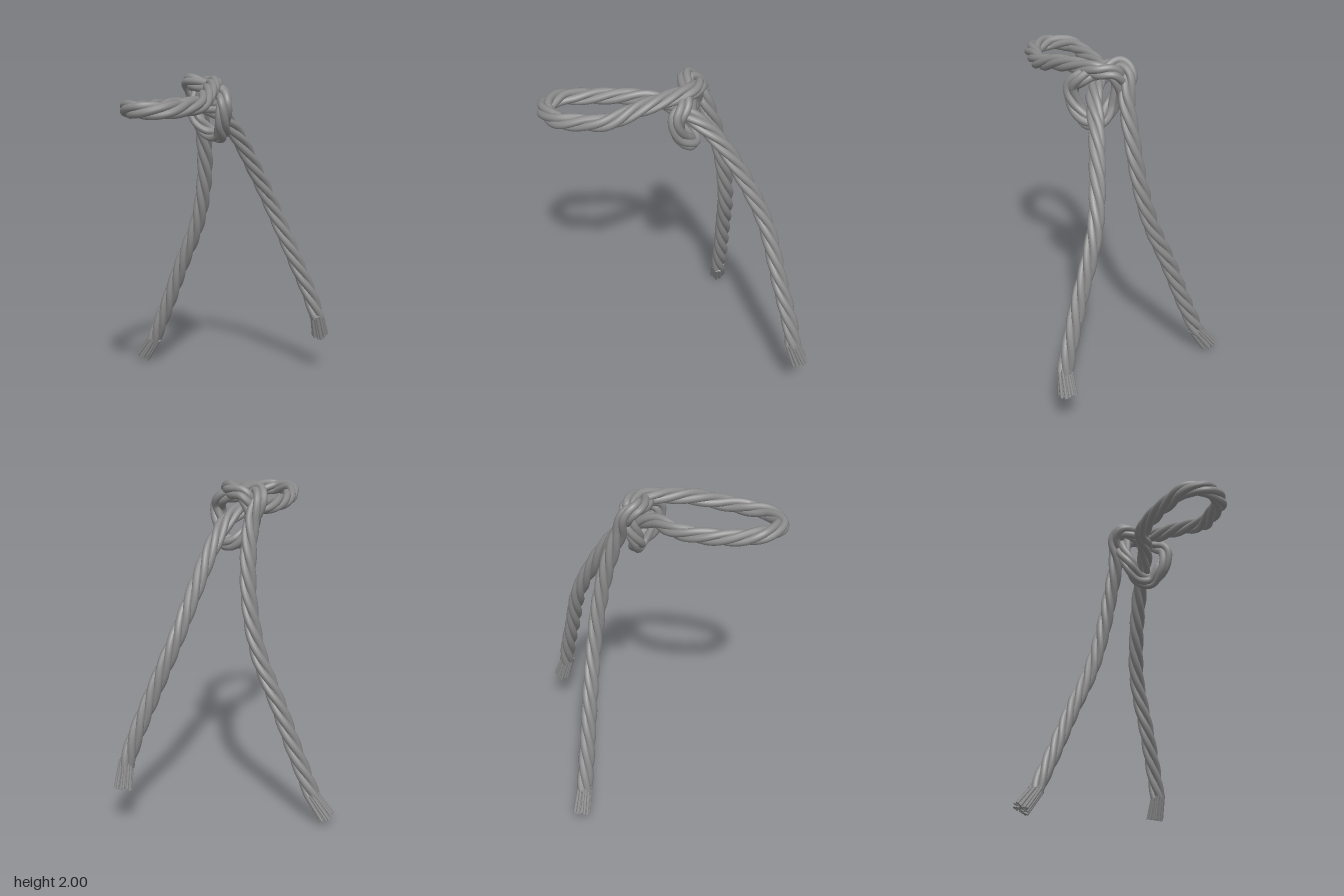
import * as THREE from 'three';

const material = new THREE.MeshStandardMaterial({ color: 0x8a8a8a, side: THREE.DoubleSide });
const V = (p) => new THREE.Vector3(...p);

// Centreline of the rope: left leg end, loop, knot, right leg end
const PATH = [
  [0.568, 0.38, -0.69], [0.525, 0.53, -0.665], [0.435, 0.78, -0.605], [0.30, 1.14, -0.52], [0.225, 1.40, -0.40],
  [0.16, 1.64, -0.25], [0.11, 1.77, -0.11], [0.04, 1.82, 0.01], [-0.06, 1.82, 0.14], [-0.105, 1.82, 0.34],
  [-0.10, 1.83, 0.55], [-0.075, 1.845, 0.65], [0.04, 1.845, 0.735], [0.175, 1.845, 0.665], [0.22, 1.85, 0.53],
  [0.245, 1.86, 0.39], [0.20, 1.91, 0.20], [0.13, 1.937, 0.0], [0.085, 1.942, -0.10], [0.0, 1.925, -0.145],
  [-0.045, 1.82, -0.125], [-0.015, 1.715, -0.09], [0.06, 1.64, -0.105], [0.14, 1.635, -0.09],
  [0.185, 1.71, -0.02], [0.205, 1.83, 0.0], [0.165, 1.89, -0.045], [0.04, 1.925, -0.06],
  [-0.07, 1.95, -0.085], [-0.093, 1.91, -0.14], [-0.06, 1.78, -0.19],
  [-0.06, 1.55, -0.265], [-0.085, 1.30, -0.315], [-0.15, 1.02, -0.345], [-0.27, 0.73, -0.355],
  [-0.385, 0.43, -0.36], [-0.495, 0.165, -0.365],
];

const STRANDS = 4, STEPS = 460, PITCH = 0.58, OFFSET = 0.027, STRAND_R = 0.0235;

// Left-handed helix strands laid around the centreline
function makeRope() {
  const rope = new THREE.Group();
  rope.name = 'twistedRope';
  const centre = new THREE.CatmullRomCurve3(PATH.map(V), false, 'centripetal');
  centre.arcLengthDivisions = 1000;
  const length = centre.getLength();
  const frames = centre.computeFrenetFrames(STEPS, false);
  const points = centre.getSpacedPoints(STEPS);
  for (let s = 0; s < STRANDS; s++) {
    const helix = points.map((p, i) => {
      const a = (s / STRANDS - (i / STEPS) * length / PITCH) * Math.PI * 2;
      return p.clone()
        .addScaledVector(frames.normals[i], Math.cos(a) * OFFSET)
        .addScaledVector(frames.binormals[i], Math.sin(a) * OFFSET);
    });
    const curve = new THREE.CatmullRomCurve3(helix);
    curve.arcLengthDivisions = 1500;
    const strand = new THREE.Mesh(new THREE.TubeGeometry(curve, 600, STRAND_R, 10), material);
    strand.name = 'ropeStrand';
    rope.add(strand);
  }
  return rope;
}

// Bundle of thin fibres spreading slightly from a rope end
function makeFrayedEnd(name, from, to) {
  const group = new THREE.Group();
  group.name = name;
  const start = V(from), axis = V(to).sub(start), up = new THREE.Vector3(0, 1, 0);
  const length = axis.length();
  group.position.copy(start);
  group.quaternion.setFromUnitVectors(up, axis.normalize());
  const count = 32;
  for (let i = 0; i < count; i++) {
    const r = Math.sqrt((i + 0.5) / count), a = i * 2.39996;
    const reach = length * (1 + 0.05 * Math.sin(i * 5.3));
    const base = new THREE.Vector3(Math.cos(a) * r * 0.039, -0.015, Math.sin(a) * r * 0.039);
    const tip = new THREE.Vector3(Math.cos(a + 0.15) * r * 0.05, reach, Math.sin(a + 0.15) * r * 0.05);
    const dir = tip.clone().sub(base);
    const fibre = new THREE.Mesh(new THREE.CylinderGeometry(0.0095, 0.0095, dir.length(), 7), material);
    fibre.name = 'fibre';
    fibre.position.copy(base).add(tip).multiplyScalar(0.5);
    fibre.quaternion.setFromUnitVectors(up, dir.normalize());
    group.add(fibre);
  }
  return group;
}

export function createModel() {
  const model = new THREE.Group();
  model.name = 'knottedRope';
  model.add(
    makeRope(),
    makeFrayedEnd('leftFrayedEnd', [0.568, 0.39, -0.685], [0.573, 0.247, -0.735]),
    makeFrayedEnd('rightFrayedEnd', [-0.49, 0.17, -0.365], [-0.58, 0.043, -0.372]),
  );
  return model;
}
